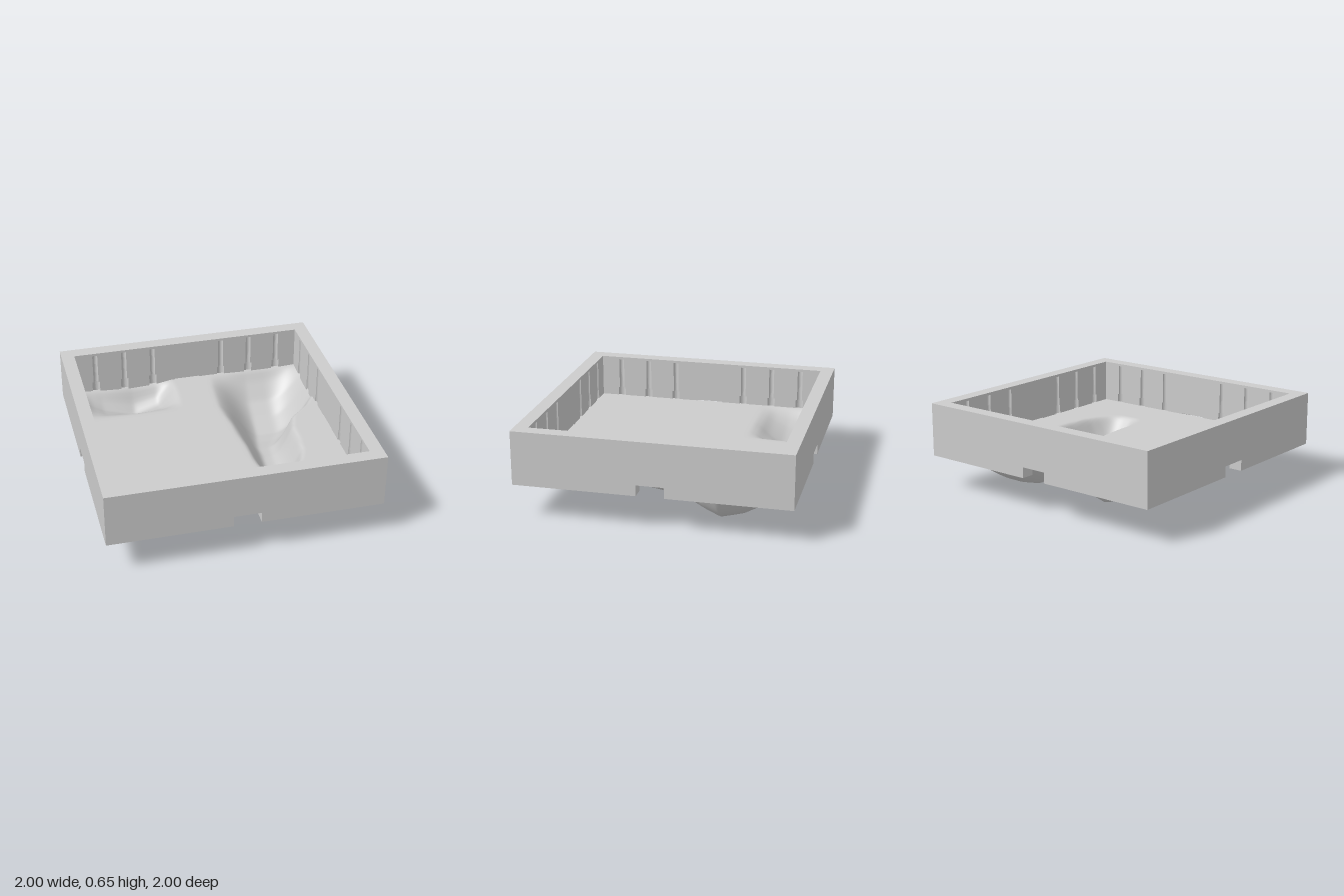
import * as THREE from 'three';

const FLOOR = 0.335;
const material = new THREE.MeshStandardMaterial({ color: 0xcccccc });
const thin = new THREE.MeshStandardMaterial({ color: 0xcccccc, side: THREE.DoubleSide });

// Long valley, by z: [z, depth, left rim, bed left, bed right, right rim]
const VALLEY = [
  [-0.90, 0.000, 0.20, 0.48, 0.62, 0.90],
  [-0.85, 0.075, 0.19, 0.48, 0.62, 0.91],
  [-0.73, 0.205, 0.17, 0.47, 0.62, 0.92],
  [-0.60, 0.280, 0.16, 0.47, 0.62, 0.92],
  [-0.43, 0.330, 0.15, 0.46, 0.61, 0.92],
  [-0.30, 0.310, 0.16, 0.43, 0.54, 0.83],
  [-0.16, 0.275, 0.18, 0.40, 0.48, 0.67],
  [0.00, 0.245, 0.19, 0.39, 0.46, 0.62],
  [0.14, 0.230, 0.21, 0.37, 0.44, 0.62],
  [0.32, 0.220, 0.22, 0.35, 0.42, 0.60],
  [0.40, 0.195, 0.23, 0.34, 0.40, 0.57],
  [0.48, 0.075, 0.25, 0.34, 0.40, 0.53],
  [0.54, 0.000, 0.28, 0.34, 0.40, 0.48],
];
// Small hollow: depth along x, and its share along z
const HOLLOW_X = [[-0.89, 0], [-0.8, 0.075], [-0.71, 0.125], [-0.46, 0.205], [-0.26, 0.145], [-0.2, 0.075], [-0.13, 0]];
const HOLLOW_Z = [[-0.9, 0.1], [-0.84, 0.7], [-0.77, 1], [-0.68, 0.8], [-0.57, 0.4], [-0.51, 0.12], [-0.46, 0]];

// Linear lookup in a table sorted by its first column
function lookup(table, t) {
  if (t <= table[0][0]) return table[0];
  for (let i = 1; i < table.length; i++) {
    const a = table[i - 1], b = table[i];
    if (t <= b[0]) return a.map((v, k) => v + (b[k] - v) * (t - a[0]) / (b[0] - a[0]));
  }
  return table[table.length - 1];
}

function groundHeight(x, z) {
  const [, depth, l, bl, br, r] = lookup(VALLEY, z);
  const left = THREE.MathUtils.clamp((x - l) / (bl - l), 0, 1);
  const right = THREE.MathUtils.clamp((r - x) / (r - br), 0, 1);
  const bank = (0.5 * left + 0.5 * left * left * (3 - 2 * left)) * Math.sin(right * Math.PI / 2);
  const hollow = lookup(HOLLOW_X, x)[1] * lookup(HOLLOW_Z, z)[1];
  return FLOOR - depth * bank - hollow;
}

function makeGround() {
  const g = new THREE.PlaneGeometry(1.82, 1.82, 110, 110).rotateX(-Math.PI / 2);
  const p = g.attributes.position;
  for (let i = 0; i < p.count; i++) {
    // Average nearby heights to soften the creases
    const x = p.getX(i), z = p.getZ(i), s = 0.022;
    const y = 0.4 * groundHeight(x, z) + 0.15 * (groundHeight(x + s, z) + groundHeight(x - s, z)
      + groundHeight(x, z + s) + groundHeight(x, z - s));
    p.setY(i, y);
  }
  g.computeVertexNormals();
  return new THREE.Mesh(g, thin);
}

// Outer wall panel with a notch in the middle of its foot
function panelGeometry() {
  const s = new THREE.Shape();
  [[-1, 0.26], [-0.1, 0.26], [-0.1, 0.34], [0.1, 0.34], [0.1, 0.26], [1, 0.26], [1, 0.659], [-1, 0.659]]
    .forEach(([x, y], i) => (i ? s.lineTo(x, y) : s.moveTo(x, y)));
  return new THREE.ExtrudeGeometry(s, { depth: 0.05, bevelEnabled: false }).translate(0, 0, 0.95);
}

// L-shaped corner of the inner wall with half-round grooves of radius r
function liningGeometry(end, r, y0, y1) {
  const posts = [0.28, 0.51, 0.74];
  const s = new THREE.Shape();
  s.moveTo(end, 0.95);
  s.lineTo(end, 0.9);
  const path = new THREE.Shape();
  path.moveTo(end, 0.95);
  path.lineTo(0.95, 0.95);
  path.lineTo(0.95, end);
  path.lineTo(0.9, end);
  if (r) posts.forEach(p => path.absarc(0.9, p, r, -Math.PI / 2, Math.PI / 2, false));
  path.lineTo(0.9, 0.9);
  if (r) [...posts].reverse().forEach(p => path.absarc(p, 0.9, r, 0, Math.PI, false));
  path.lineTo(end, 0.9);
  path.closePath();
  return new THREE.ExtrudeGeometry(path, { depth: y1 - y0, bevelEnabled: false, curveSegments: 8 })
    .rotateX(-Math.PI / 2).translate(0, y0, 0);
}

function square(Type, h) {
  return new Type([[-h, -h], [h, -h], [h, h], [-h, h]].map(([x, y]) => new THREE.Vector2(x, y)));
}

export function createModel() {
  const model = new THREE.Group();
  const add = (mesh, name) => { mesh.name = name; model.add(mesh); };

  add(makeGround(), 'ground');

  // Four sides: outer panels, and grooved lining that is wider near the foot
  const panel = panelGeometry();
  const linings = [
    liningGeometry(0.1, 0.03, 0.26, 0.34),
    liningGeometry(0, 0.03, 0.34, 0.4),
    liningGeometry(0, 0.02, 0.4, 0.64),
    liningGeometry(0, 0, 0.64, 0.659),
  ];
  for (let i = 0; i < 4; i++) {
    const side = new THREE.Group();
    side.rotation.y = i * Math.PI / 2;
    const wall = new THREE.Mesh(panel, material);
    wall.name = 'outerWall';
    side.add(wall);
    linings.forEach(g => {
      const lining = new THREE.Mesh(g, material);
      lining.name = 'groovedLining';
      side.add(lining);
    });
    add(side, 'wallSide');
  }

  // Flat rim on top of the walls
  const ring = square(THREE.Shape, 1);
  ring.holes.push(square(THREE.Path, 0.9));
  add(new THREE.Mesh(new THREE.ShapeGeometry(ring).rotateX(-Math.PI / 2).translate(0, 0.66, 0), thin), 'rim');
  return model;
}
